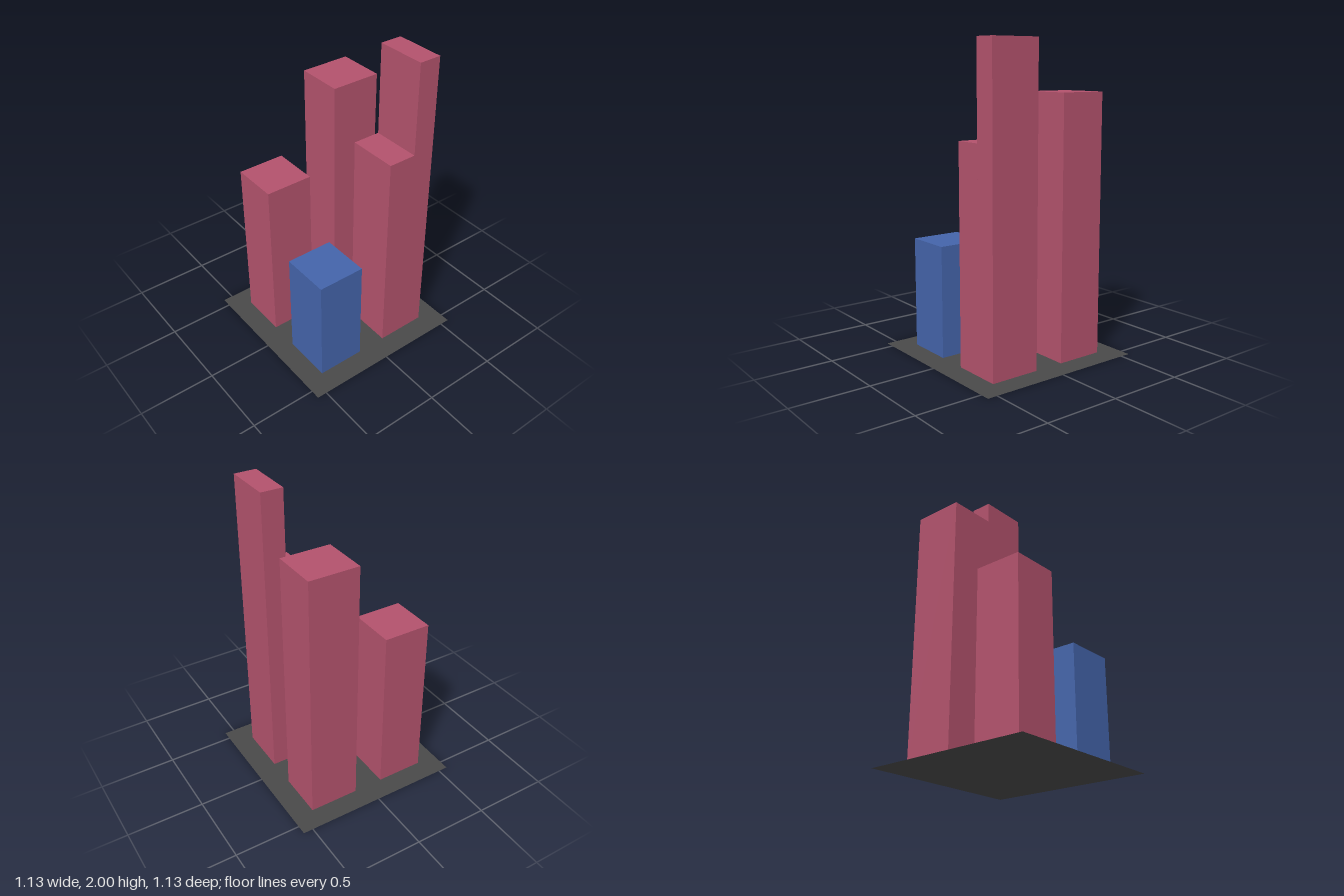
import * as THREE from 'three';

export function createModel() {
  const city = new THREE.Group();
  city.name = 'cityBlock';

  const red = new THREE.MeshStandardMaterial({ color: 0xb2526c });
  const blue = new THREE.MeshStandardMaterial({ color: 0x4464aa });
  const asphalt = new THREE.MeshStandardMaterial({ color: 0x494949, side: THREE.DoubleSide });

  // Thin ground sheet
  const ground = new THREE.Mesh(new THREE.PlaneGeometry(1.13, 1.13).rotateX(-Math.PI / 2), asphalt);
  ground.name = 'ground';
  city.add(ground);

  // A tower spans x0..x1 and z0..z1; its foot sits just clear of the ground sheet
  const foot = 0.001;
  function tower(name, x0, x1, z0, z1, top, material) {
    const mesh = new THREE.Mesh(new THREE.BoxGeometry(x1 - x0, top - foot, z1 - z0), material);
    mesh.position.set((x0 + x1) / 2, (top + foot) / 2, (z0 + z1) / 2);
    mesh.name = name;
    return mesh;
  }

  // Single towers
  city.add(
    tower('frontRightTower', -0.425, -0.11, 0.088, 0.42, 0.725, blue),
    tower('backRightTower', -0.425, -0.11, -0.425, -0.11, 1.125, red),
    tower('backLeftTower', 0.088, 0.42, -0.425, -0.11, 1.68, red),
  );

  // Stepped tower made of a low and a high block
  const stepped = new THREE.Group();
  stepped.name = 'steppedTower';
  stepped.add(
    tower('lowBlock', 0.088, 0.274, 0.088, 0.42, 1.4, red),
    tower('highBlock', 0.274, 0.42, 0.088, 0.42, 2, red),
  );
  city.add(stepped);

  return city;
}
